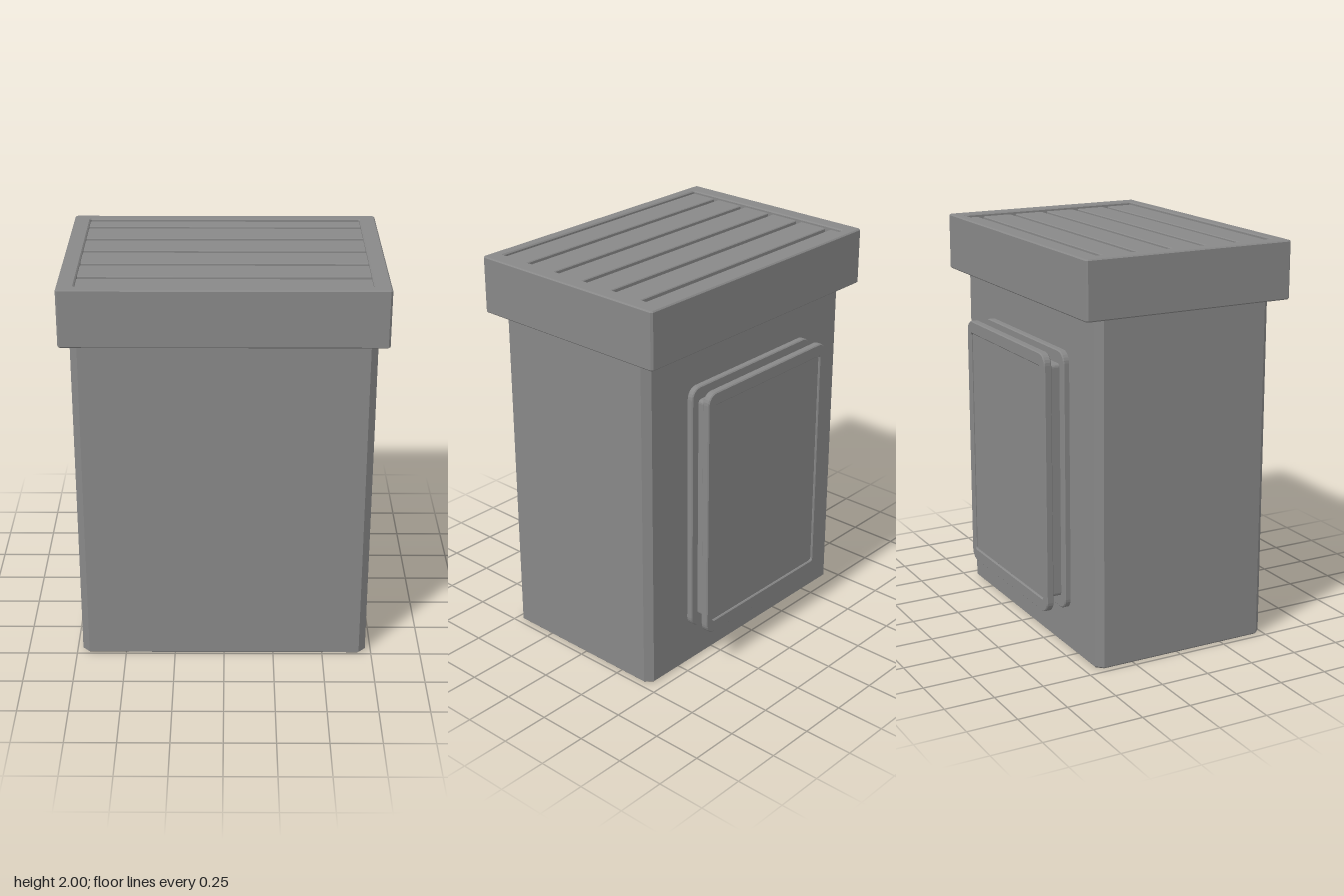
import * as THREE from 'three';

const material = new THREE.MeshStandardMaterial({ color: 0x888888 });

// Rectangle outline with chamfered (segments 1) or rounded corners
function outline(path, w, h, r, segments) {
  const pts = [];
  [[1, 1], [-1, 1], [-1, -1], [1, -1]].forEach(([sx, sy], i) => {
    for (let k = 0; k <= segments; k++) {
      const a = (i + k / segments) * Math.PI / 2;
      pts.push(new THREE.Vector2(sx * (w / 2 - r) + r * Math.cos(a), sy * (h / 2 - r) + r * Math.sin(a)));
    }
  });
  return path.setFromPoints(pts);
}

// Bevelled slab from z = 0 to z = depth; hole = [width, height, radius]
function slab(w, h, depth, r, segments, bevel, hole) {
  const shape = outline(new THREE.Shape(), w - 2 * bevel, h - 2 * bevel, r, segments);
  if (hole) shape.holes.push(outline(new THREE.Path(), hole[0] + 2 * bevel, hole[1] + 2 * bevel, hole[2], segments));
  const geo = new THREE.ExtrudeGeometry(shape, {
    depth: depth - 2 * bevel, bevelEnabled: true, bevelSize: bevel, bevelThickness: bevel, bevelSegments: 1,
  });
  return geo.translate(0, 0, bevel);
}

export function createModel() {
  const model = new THREE.Group();
  const add = (name, geo, x, y, z) => {
    const mesh = new THREE.Mesh(geo, material);
    mesh.name = name;
    mesh.position.set(x, y, z);
    model.add(mesh);
  };
  const upright = (geo) => geo.rotateX(-Math.PI / 2);

  // Cabinet body with chamfered vertical edges
  add('body', upright(slab(1.444, 0.938, 1.73, 0.03, 1, 0.008)), 0, 0, 0.025);

  // Overhanging top: open frame and a floor under the slats
  add('topFrame', upright(slab(1.535, 1.094, 0.284, 0.006, 1, 0.006, [1.372, 0.984, 0.008])), 0, 1.716, 0.024);
  add('topFloor', new THREE.BoxGeometry(1.39, 0.2, 1.004), 0, 1.82, 0.024);

  // Slats running into the frame, separated by five grooves
  const grooves = [-0.375, -0.191, -0.007, 0.177, 0.361];
  const half = 0.015;
  const starts = [-0.48, ...grooves.map((g) => g + half)];
  const ends = [...grooves.map((g) => g - half), 0.528];
  starts.forEach((start, i) => {
    const geo = upright(slab(1.39, ends[i] - start, 0.065, 0.004, 1, 0.004));
    add('slat' + (i + 1), geo, 0, 1.92, (start + ends[i]) / 2);
  });

  // Rear hatch: mounting flange, core and slightly raised border
  const y = 0.859;
  add('hatchFlange', slab(0.884, 1.297, 0.037, 0.05, 6, 0.005), 0, y, -0.474);
  add('hatchCore', slab(0.8, 1.17, 0.11, 0.015, 4, 0.003), 0, y, -0.565);
  add('hatchBorder', slab(0.884, 1.297, 0.039, 0.05, 6, 0.005, [0.796, 1.166, 0.015]), 0, y, -0.574);

  return model;
}
